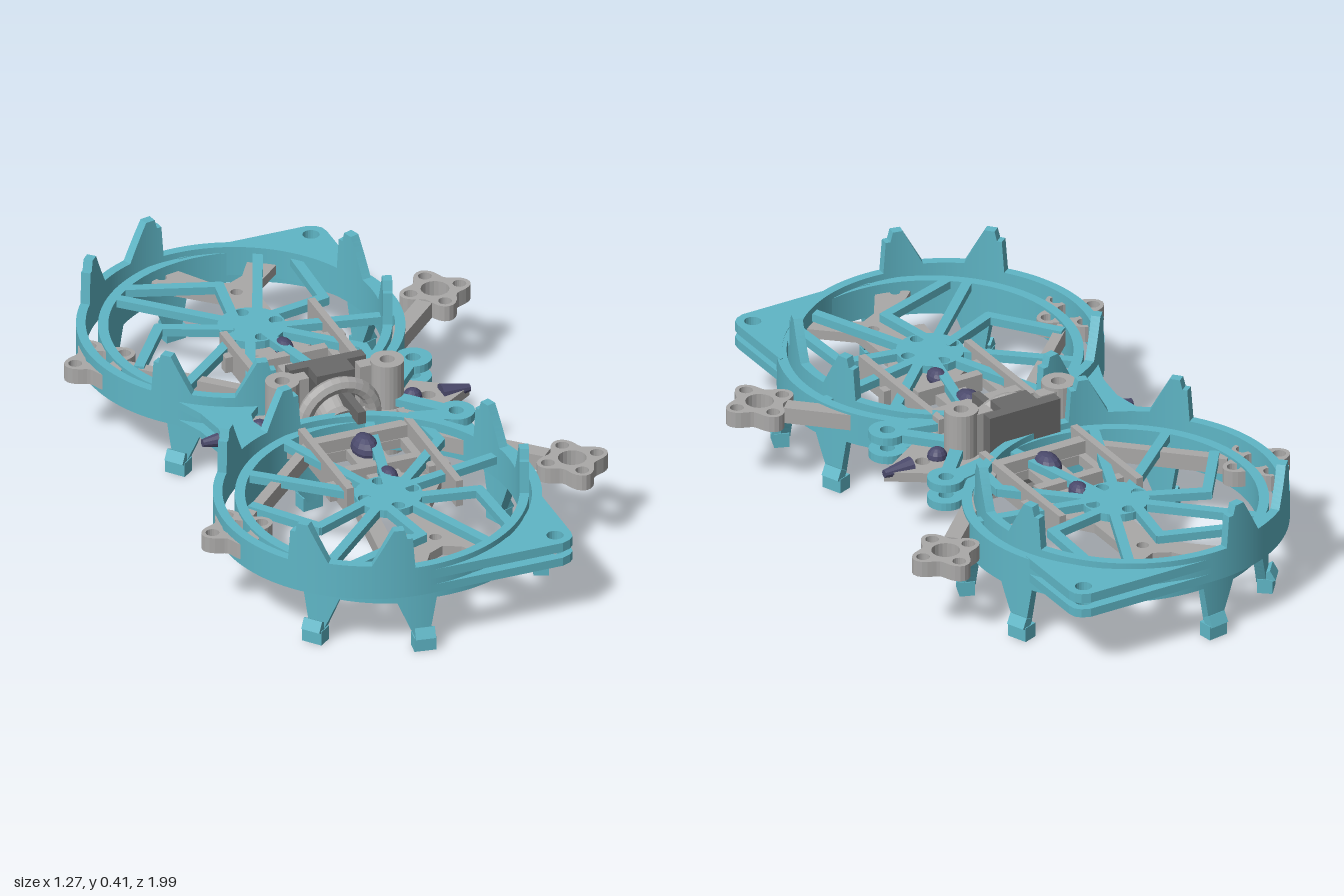
import * as THREE from 'three';

const mat = (color) => new THREE.MeshStandardMaterial({ color, flatShading: true, side: THREE.DoubleSide });
const TEAL = mat(0x5fb6c6), GREY = mat(0xaaa9a8), DARK = mat(0x6a6a6a), PURPLE = mat(0x4b4a6c);
const D = Math.PI / 180;

function add(group, name, geometry, material, x = 0, y = 0, z = 0) {
  const m = new THREE.Mesh(geometry, material);
  m.name = name;
  m.position.set(x, y, z);
  group.add(m);
  return m;
}

// Horizontal plate from [x, z] points, with round holes [x, z, r] and polygon cutouts
function plate(group, name, pts, y0, y1, material, holes = [], cuts = []) {
  const v = (p) => new THREE.Vector2(p[0], -p[1]);
  const shape = new THREE.Shape(pts.map(v));
  for (const [x, z, r] of holes) shape.holes.push(new THREE.Path().absarc(x, -z, r, 0, Math.PI * 2, false));
  for (const c of cuts) shape.holes.push(new THREE.Path(c.map(v)));
  const g = new THREE.ExtrudeGeometry(shape, { depth: y1 - y0, bevelEnabled: false, curveSegments: 10 });
  g.rotateX(-Math.PI / 2);
  return add(group, name, g, material, 0, y0, 0);
}

function arc(cx, cz, r, a0, a1, n = 24) {
  return Array.from({ length: n + 1 }, (_, i) => {
    const a = (a0 + (a1 - a0) * i / n) * D;
    return [cx + r * Math.cos(a), cz + r * Math.sin(a)];
  });
}
const disc = (x, z, r, n = 24) => arc(x, z, r, 0, 360 - 360 / n, n - 1);

// Straight bar between two [x, z] points
function bar(group, name, p, q, w, y0, y1, material) {
  const dx = q[0] - p[0], dz = q[1] - p[1];
  const m = add(group, name, new THREE.BoxGeometry(Math.hypot(dx, dz) + w * 0.6, y1 - y0, w), material,
    (p[0] + q[0]) / 2, (y0 + y1) / 2, (p[1] + q[1]) / 2);
  m.rotation.y = -Math.atan2(dz, dx);
}

// Linear interpolation through [position, value] pairs
function profile(list, d) {
  for (let i = 1; i < list.length; i++) {
    const [a, va] = list[i - 1], [b, vb] = list[i];
    if (d <= b) return va + (vb - va) * (d - a) / (b - a);
  }
  return list[list.length - 1][1];
}

// Round wall whose top and bottom heights follow the angle from the nearest of three centres
function wall(rIn, rOut, top, bottom) {
  const pos = [], idx = [], n = 360;
  for (let i = 0; i <= n; i++) {
    const d = Math.abs(((i + 60) % 120) - 60), c = Math.cos(i * D), s = Math.sin(i * D);
    const t = profile(top, d), b = profile(bottom, d);
    for (const [r, y] of [[rIn, b], [rOut, b], [rOut, t], [rIn, t]]) pos.push(r * c, y, r * s);
    if (i < n) for (let k = 0; k < 4; k++) {
      const a = i * 4 + k, e = i * 4 + (k + 1) % 4;
      idx.push(a, e, a + 4, e, e + 4, a + 4);
    }
  }
  const g = new THREE.BufferGeometry();
  g.setAttribute('position', new THREE.Float32BufferAttribute(pos, 3));
  g.setIndex(idx);
  g.computeVertexNormals();
  return g;
}

// Spoke paths from the hub outwards, as fractions of the duct radius
const SPOKES = [
  [[-.1, -.1], [-.7, -.68]], [[-.6, -.76], [0, -.56], [-.07, -.14]], [[.08, -.1], [.4, -.87]],
  [[.14, -.08], [.57, -.16], [.59, -.78]], [[-.14, -.02], [-.57, -.21], [-.87, .2]],
  [[-.14, .07], [-.75, .6]], [[-.07, .14], [-.36, .87]], [[.05, .14], [.24, .93]],
  [[.14, .06], [.94, .22]], [[.14, .1], [.57, .52], [.55, .78]],
];

function duct(s) {
  const g = new THREE.Group(), cz = s * 0.523, hx = -0.05, ux = -0.105;
  g.name = s > 0 ? 'frontDuct' : 'backDuct';
  // Upper crown wall and lower legged wall
  add(g, 'crownWall', wall(.432, .46, [[0, .3], [8, .3], [16, .415], [20, .415], [21, .385], [23, .385], [24, .285], [60, .285]],
    [[0, .19], [60, .19]]), TEAL, ux, 0, cz);
  add(g, 'leggedWall', wall(.417, .447, [[0, .265], [60, .265]],
    [[0, .155], [11, .155], [18, .03], [23, .03], [26, .165], [60, .165]]), TEAL, hx, 0, cz);
  // Hooked feet
  for (const c of [0, 120, 240]) for (const d of [-21, 21]) {
    const a = (c + d) * D, r = .443;
    const f = add(g, 'foot', new THREE.BoxGeometry(.045, .045, .065), TEAL, hx + r * Math.cos(a), .0225, cz + r * Math.sin(a));
    f.rotation.y = -a;
    const h = add(g, 'footToe', new THREE.BoxGeometry(.03, .035, .06), TEAL, hx + (r + .01) * Math.cos(a), .052, cz + (r + .01) * Math.sin(a));
    h.rotation.set(0, -a, .5, 'YXZ');
  }
  // Hub and spokes
  plate(g, 'hub', disc(hx, cz, .1), .24, .265, TEAL,
    [0, 1, 2, 3].map((k) => [hx + .075 * Math.cos(k * 90 * D), cz + .075 * Math.sin(k * 90 * D), .02]));
  for (const path of SPOKES) for (let i = 1; i < path.length; i++) {
    const [p, q] = [path[i - 1], path[i]].map(([x, z]) => [hx + x * .447, cz - s * z * .447]);
    bar(g, 'spoke', p, q, .03, .24, .265, TEAL);
  }
  // Twin corner plates
  const corner = [[ux, .46], [.31, .46], [.335, .45], [.35, .435], [.355, .41], [.355, .17], ...arc(hx, 0, .43, 24, 97)]
    .map(([x, z]) => [x, cz + s * z]);
  for (const [a, b] of [[.19, .217], [.237, .267]]) plate(g, 'cornerPlate', corner, a, b, TEAL, [[.305, cz + s * .41, .025]]);
  // Screw lug beside the centre
  for (const [a, b] of [[.185, .21], [.245, .27]]) {
    plate(g, 'lug', disc(.31, s * .165, .055), a, b, TEAL, [[.31, s * .165, .022]]);
    bar(g, 'lugArm', [.26, s * .17], [.17, s * .15], .06, a, b, TEAL);
    bar(g, 'lugBrace', [.28, s * .13], [.19, s * .03], .04, a, b, TEAL);
  }
  return g;
}

function frameHalf(s) {
  const g = new THREE.Group();
  g.name = s > 0 ? 'frontFrame' : 'backFrame';
  const m = (list) => list.map(([x, z]) => [x, s * z]);
  // Motor mounts and diagonal arms
  for (const sx of [-1, 1]) {
    const cx = sx * .527, cz = s * .525;
    const lobes = Array.from({ length: 48 }, (_, i) => {
      const a = i * 7.5 * D, r = .09 + .02 * Math.cos(4 * a);
      return [cx + r * Math.cos(a), cz + r * Math.sin(a)];
    });
    plate(g, 'motorMount', lobes, .207, .257, GREY, [[cx, cz, .042],
      ...[0, 90, 180, 270].map((d) => [cx + .077 * Math.cos(d * D), cz + .077 * Math.sin(d * D), .02])]);
    bar(g, 'arm', [sx * .46, s * .46], [sx * .14, s * .15], sx > 0 ? .05 : .032, .207, .257, GREY);
    // Side rails
    bar(g, 'rail', [sx * .155, s * .12], [sx * .155, s * (sx > 0 ? .56 : .48)], .022, .2, .285, GREY);
    bar(g, 'railTab', [sx * .13, s * .4], [sx * .18, s * .4], .03, .207, .257, GREY);
  }
  // Slotted spine plate with a forked end
  plate(g, 'spinePlate', m([[-.15, .09], [-.15, .45], [-.055, .58], [-.055, .76], [-.21, .9], [-.18, .95], [-.12, .95],
    [-.05, .84], [0, .815], [.05, .84], [.12, .95], [.18, .95], [.21, .9], [.055, .76], [.055, .58], [.15, .45], [.15, .09]]),
    .205, .235, GREY, [[-.17, s * .92, .016], [.17, s * .92, .016], [0, s * .76, .018]],
    [m([[-.12, .2], [-.05, .2], [-.05, .38], [-.12, .42]]), m([[.12, .2], [.05, .2], [.05, .38], [.12, .42]])]);
  bar(g, 'crossBar', [-.14, s * .18], [.14, s * .18], .035, .205, .275, GREY);
  bar(g, 'crossBar', [-.1, s * .34], [.1, s * .34], .03, .205, .26, GREY);
  // Dark plugs
  for (const [z, r] of [[.4, .028], [.22, .04]]) {
    const p = add(g, 'plug', new THREE.SphereGeometry(r, 12, 8), PURPLE, .0, .245, s * z);
    p.scale.z = 1.4;
  }
  return g;
}

function centre() {
  const g = new THREE.Group();
  g.name = 'centreUnit';
  // Diamond plates, their end plugs and the body plate
  plate(g, 'bodyPlate', [[-.36, 0], [-.3, -.08], [-.16, -.17], [.16, -.17], [.3, -.08], [.42, 0], [.3, .08], [.16, .17], [-.16, .17], [-.3, .08]],
    .207, .237, GREY, [[-.29, 0, .022], [.29, 0, .022]]);
  for (const sx of [-1, 1]) {
    const p = add(g, 'endPlug', new THREE.CylinderGeometry(.012, .03, .09, 10), PURPLE, sx * .375, .232, 0);
    p.rotation.z = -sx * Math.PI / 2;
    add(g, 'innerPlug', new THREE.SphereGeometry(.03, 12, 8), PURPLE, sx * .24, .24, 0);
  }
  // Concave bridge joining the two ducts
  for (const [a, b] of [[.188, .21], [.245, .27]])
    plate(g, 'ductBridge', [[-.42, -.19], [-.385, -.1], [-.37, 0], [-.385, .1], [-.42, .19], [-.28, .12], [-.2, .09], [-.25, .04],
      [-.26, 0], [-.25, -.04], [-.2, -.09], [-.28, -.12]], a, b, TEAL);
  // Hollow posts
  for (const sx of [-1, 1]) {
    plate(g, 'post', disc(sx * .165, -.01, .05), .085, .38, GREY, [[sx * .165, -.01, .022]]);
    add(g, 'postWeb', new THREE.BoxGeometry(.06, .27, .04), GREY, sx * .11, .235, -.03);
  }
  // Camera back plate, body and flared lens
  add(g, 'backPlate', new THREE.BoxGeometry(.24, .25, .035), DARK, 0, .25, -.08);
  add(g, 'topBridge', new THREE.BoxGeometry(.12, .03, .09), DARK, 0, .36, -.045);
  add(g, 'cameraRing', new THREE.TorusGeometry(.11, .025, 8, 32), GREY, 0, .235, .02);
  const lens = new THREE.LatheGeometry([[.0, -.06], [.06, -.06], [.06, .02], [.085, .06], [.07, .06], [.045, .0], [0, 0]]
    .map(([r, y]) => new THREE.Vector2(r, y)), 24);
  add(g, 'lens', lens, GREY, 0, .235, 0).rotation.x = Math.PI / 2 + .35;
  add(g, 'lensStem', new THREE.BoxGeometry(.025, .04, .15), DARK, .02, .3, .075);
  add(g, 'lowerSaddle', new THREE.BoxGeometry(.24, .05, .1), GREY, 0, .115, -.02);
  return g;
}

export function createModel() {
  const model = new THREE.Group();
  model.name = 'quadFrame';
  for (const s of [1, -1]) model.add(duct(s), frameHalf(s));
  model.add(centre());
  // Open-ended box hung under the front half
  const box = new THREE.Group();
  box.name = 'equipmentBox';
  for (const k of [-1, 1]) {
    add(box, 'boxSide', new THREE.BoxGeometry(.012, .07, .11), GREY, -.14 + k * .049, .133, .765);
    add(box, 'boxFloor', new THREE.BoxGeometry(.11, .012, .11), GREY, -.14, .133 + k * .03, .765);
  }
  bar(box, 'boxHanger', [-.14, .74], [-.1, .45], .05, .165, .21, GREY);
  model.add(box);
  return model;
}
